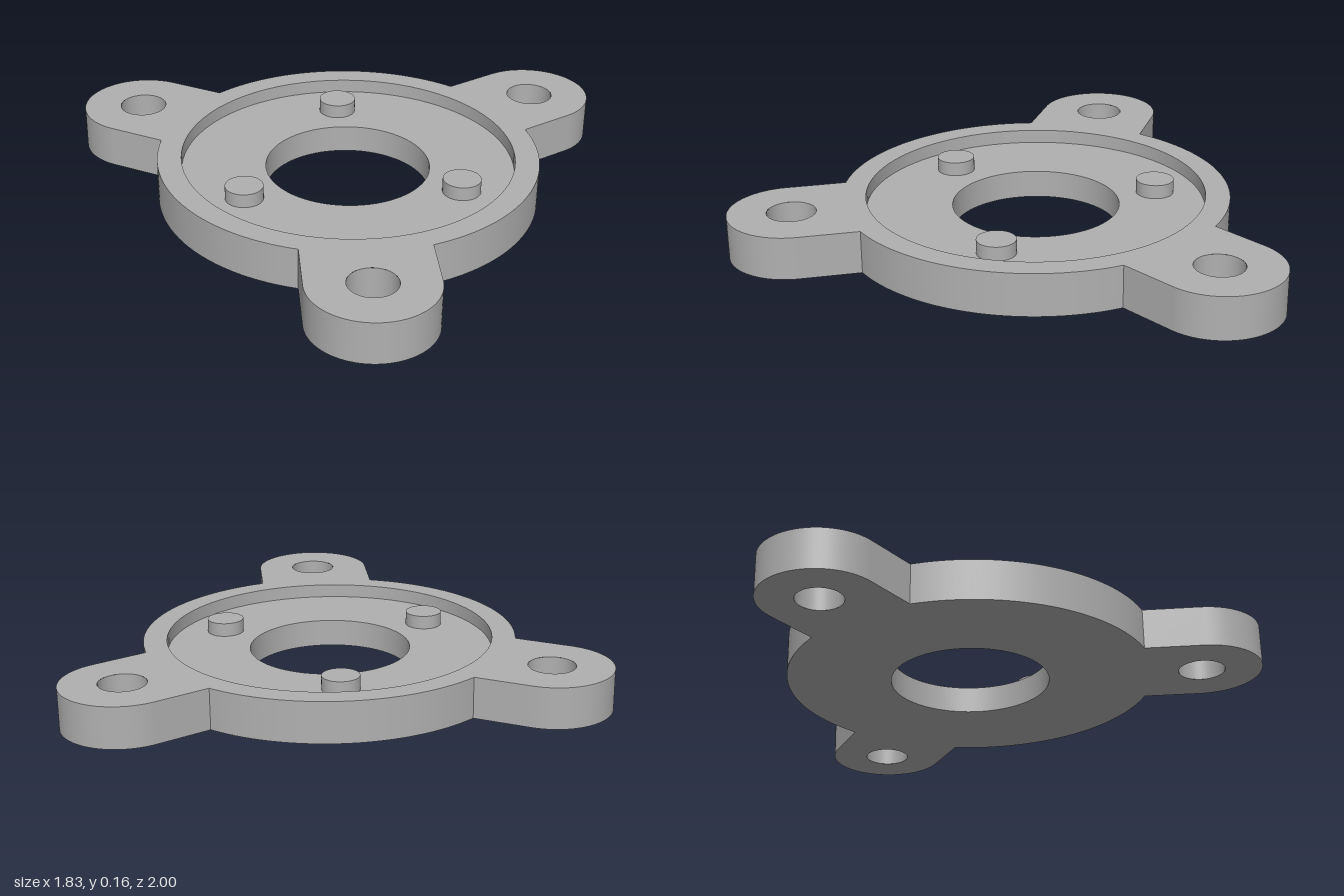
import * as THREE from 'three';

const H = 0.157;         // full thickness
const FLOOR = 0.105;     // height of the recess floor
const BODY_R = 0.709, RECESS_R = 0.62, BORE_R = 0.306;
const EAR_D = 0.889, EAR_R = 0.228, EAR_HOLE_R = 0.088;
const PEG_D = 0.455, PEG_R = 0.07;
const STEP = Math.PI * 2 / 3;
const HALF = Math.asin(EAR_R / BODY_R);   // half angle where an ear meets the body

export function createModel() {
  const metal = new THREE.MeshStandardMaterial({ color: 0xb0b0b0 });
  metal.name = 'plain grey';

  const root = new THREE.Group();
  root.name = 'flange';
  root.position.x = 0.203;

  const add = (parent, name, geometry) => {
    const mesh = new THREE.Mesh(geometry, metal);
    mesh.name = name;
    parent.add(mesh);
    return mesh;
  };
  // One straight profile edge revolved about y (rising faces out, falling faces in)
  const turned = (r0, y0, r1, y1, segments = 96, start = 0, length = Math.PI * 2) =>
    new THREE.LatheGeometry(
      [new THREE.Vector2(r0, y0), new THREE.Vector2(r1, y1)], segments, start, length);

  // Outline of the disc with three ears, with bolt holes and a central opening
  const outline = (openingRadius) => {
    const shape = new THREE.Shape();
    const circle = (x, y, r) =>
      shape.holes.push(new THREE.Path().absarc(x, y, r, 0, Math.PI * 2, true));
    for (let i = 0; i < 3; i++) {
      const t = Math.PI + i * STEP;
      const x = EAR_D * Math.cos(t), y = EAR_D * Math.sin(t);
      shape.absarc(x, y, EAR_R, t - Math.PI / 2, t + Math.PI / 2, false);
      shape.absarc(0, 0, BODY_R, t + HALF, t + STEP - HALF, false);
      circle(x, y, EAR_HOLE_R);
    }
    shape.closePath();
    circle(0, 0, openingRadius);
    return new THREE.ShapeGeometry(shape, 48);
  };

  // Flat faces
  add(root, 'rimTop', outline(RECESS_R).rotateX(-Math.PI / 2)).position.y = H;
  add(root, 'underside', outline(BORE_R).rotateX(Math.PI / 2));

  // Recess and central bore
  add(root, 'recessWall', turned(RECESS_R, H, RECESS_R, FLOOR));
  add(root, 'recessFloor', turned(RECESS_R, FLOOR, BORE_R, FLOOR));
  add(root, 'boreWall', turned(BORE_R, FLOOR, BORE_R, 0));

  // Three identical sectors, each with an ear along local +z
  const neckZ = BODY_R * Math.cos(HALF);
  for (let i = 0; i < 3; i++) {
    const sector = new THREE.Group();
    sector.name = 'sector' + (i + 1);
    sector.rotation.y = -Math.PI / 2 + i * STEP;
    root.add(sector);

    add(sector, 'bodyWall',
      turned(BODY_R, 0, BODY_R, H, 48, HALF, STEP - 2 * HALF));
    add(sector, 'earEnd',
      turned(EAR_R, 0, EAR_R, H, 48, -Math.PI / 2, Math.PI)).position.z = EAR_D;
    add(sector, 'boltHole',
      turned(EAR_HOLE_R, H, EAR_HOLE_R, 0, 48)).position.z = EAR_D;
    for (const side of [-1, 1]) {
      const wall = add(sector, 'earSide', new THREE.PlaneGeometry(EAR_D - neckZ, H));
      wall.rotation.y = side * Math.PI / 2;
      wall.position.set(side * EAR_R, H / 2, (EAR_D + neckZ) / 2);
    }

    // Locating peg halfway between two ears, level with the rim
    const peg = new THREE.Group();
    peg.name = 'peg';
    peg.position.set(PEG_D * Math.sin(STEP / 2), 0, PEG_D * Math.cos(STEP / 2));
    sector.add(peg);
    add(peg, 'pegSide', turned(PEG_R, FLOOR, PEG_R, H, 40));
    add(peg, 'pegTop', new THREE.CircleGeometry(PEG_R, 40).rotateX(-Math.PI / 2)).position.y = H;
  }

  const model = new THREE.Group();
  model.name = 'threeEarFlange';
  model.add(root);
  return model;
}
